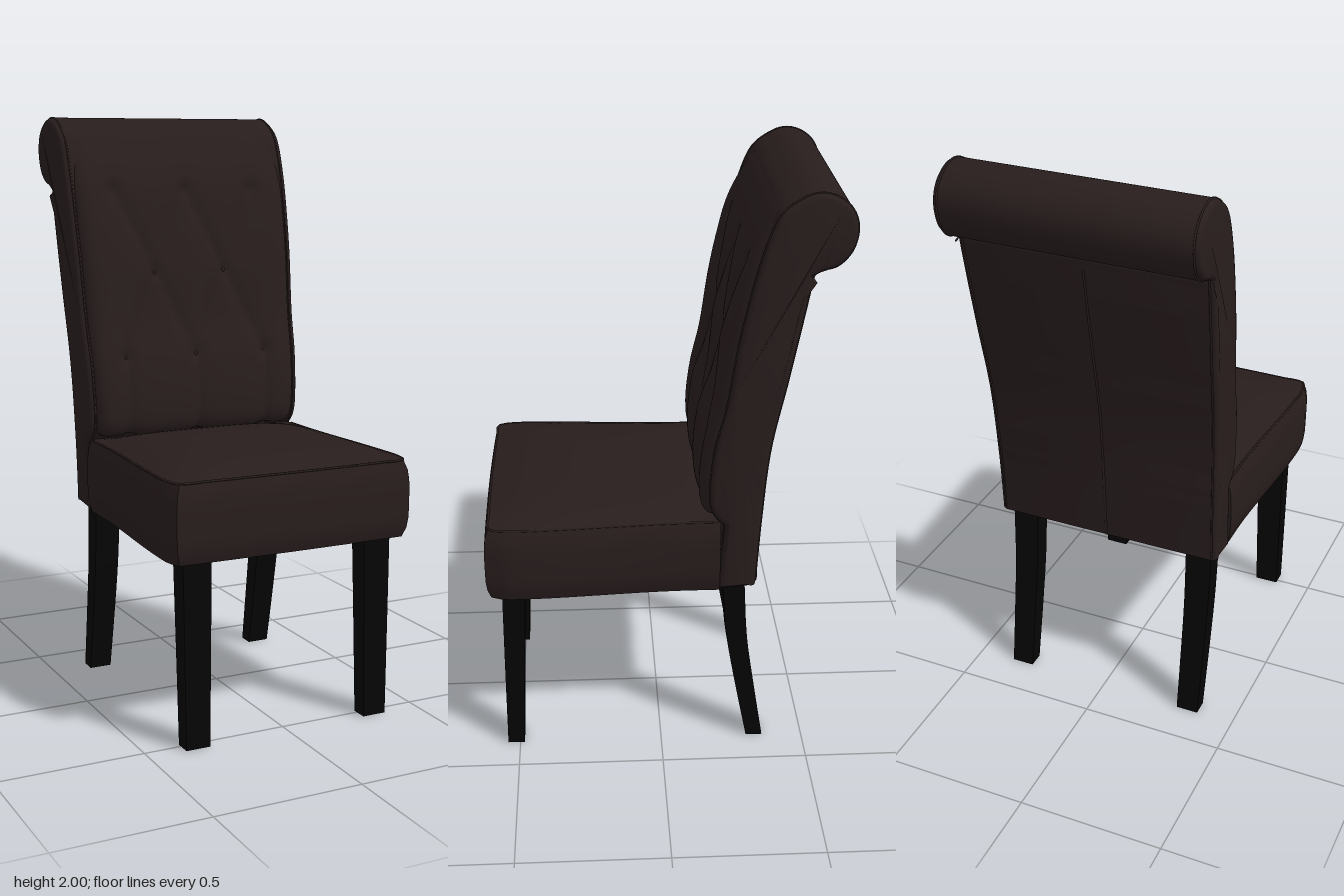
import * as THREE from 'three';
import { toCreasedNormals } from 'three/addons/utils/BufferGeometryUtils.js';

const flat = (name, color) => Object.assign(new THREE.MeshStandardMaterial({ color }), { name });
const { lerp, smoothstep, clamp } = THREE.MathUtils;

// Move every vertex by a rule, then refresh the normals
function reshape(geometry, rule) {
  const p = geometry.attributes.position;
  const v = new THREE.Vector3();
  for (let i = 0; i < p.count; i++) {
    rule(v.fromBufferAttribute(p, i));
    p.setXYZ(i, v.x, v.y, v.z);
  }
  geometry.computeVertexNormals();
  return geometry;
}

// Side profile of the backrest as [z, y]
const FRONT = [[-0.185, 0.87], [-0.145, 0.92], [-0.135, 1.0], [-0.15, 1.15], [-0.185, 1.3], [-0.215, 1.5],
  [-0.245, 1.65], [-0.285, 1.8], [-0.35, 1.925], [-0.415, 1.98], [-0.475, 2.0]];
const ROLL = [[-0.535, 1.983], [-0.578, 1.94], [-0.592, 1.88], [-0.575, 1.815], [-0.535, 1.772], [-0.49, 1.757], [-0.458, 1.74]];
const REAR = [[-0.455, 1.7], [-0.4, 1.4], [-0.352, 1.15], [-0.33, 0.9], [-0.315, 0.64]];

// Tufting: buttons and the creases that join them
const BUTTONS = [[-0.27, 1.75], [0, 1.75], [0.27, 1.75], [-0.135, 1.46], [0.135, 1.46], [-0.27, 1.17], [0, 1.17], [0.27, 1.17]];
const CREASES = [];
for (const s of [-1, 1]) {
  const mid = [s * 0.135, 1.46];
  for (const y of [1.17, 1.75]) for (const x of [0, s * 0.27]) CREASES.push([mid, [x, y]]);
  CREASES.push([[s * 0.27, 1.17], [s * 0.27, 0.86]]);
}
CREASES.push([[0, 1.17], [0, 0.86]]);

function creaseDistance(x, y) {
  let best = 1;
  for (const [a, b] of CREASES) {
    const dx = b[0] - a[0], dy = b[1] - a[1];
    const t = clamp(((x - a[0]) * dx + (y - a[1]) * dy) / (dx * dx + dy * dy), 0, 1);
    best = Math.min(best, Math.hypot(x - a[0] - t * dx, y - a[1] - t * dy));
  }
  return best;
}

// The back widens slightly towards the roll
const flare = (y) => lerp(0.96, 1.022, smoothstep(y, 0.7, 1.9));

function tuftedPanel() {
  const curve = new THREE.CatmullRomCurve3(FRONT.map(([z, y]) => new THREE.Vector3(0, y, z)));
  return reshape(new THREE.PlaneGeometry(1, 1, 72, 90), (v) => {
    const t = v.y + 0.5, u = v.x * 2;
    const p = curve.getPointAt(t), tan = curve.getTangentAt(t);
    const x = u * 0.416 * flare(p.y);
    let swell = 0.014 - 0.018 * Math.exp(-creaseDistance(x, p.y) / 0.035);
    for (const [bx, by] of BUTTONS) swell -= 0.012 * Math.exp(-(Math.hypot(x - bx, p.y - by) ** 2) / 0.0006);
    swell *= 1 - smoothstep(t, 0.68, 0.88);
    // the rim tucks into the body at the sides, bottom and roll
    const d = swell - 0.07 * Math.abs(u) ** 18 - 0.03 * (1 - smoothstep(t, 0, 0.04)) - 0.006 * smoothstep(t, 0.88, 1);
    v.set(x, p.y - tan.z * d, p.z + tan.y * d);
  });
}

function backOutline() {
  const inset = FRONT.map(([z, y]) => [z - 0.022 * (1 - smoothstep(y, 1.75, 1.96)), y]);
  const pts = (list) => list.map(([z, y]) => new THREE.Vector2(-z, y));
  const shape = new THREE.Shape();
  shape.moveTo(0.19, 0.63);
  shape.lineTo(-inset[0][0], inset[0][1]);
  shape.splineThru(pts([...inset.slice(1), ...ROLL]));
  shape.splineThru(pts(REAR));
  shape.closePath();
  return shape;
}

function backBody(shape) {
  const g = new THREE.ExtrudeGeometry(shape, {
    depth: 0.81, steps: 1, curveSegments: 60, bevelThickness: 0.02, bevelSize: 0.02, bevelOffset: -0.02, bevelSegments: 4,
  });
  g.translate(0, 0, -0.405).rotateY(Math.PI / 2);
  return toCreasedNormals(reshape(g, (v) => { v.x *= flare(v.y); }), 0.7);
}

function tube(points, radius, closed = false) {
  return new THREE.TubeGeometry(new THREE.CatmullRomCurve3(points, closed, 'centripetal'), points.length * 3, radius, 6, closed);
}

// Half width of the seat from back to front
const seatHalf = (z) => lerp(0.395, 0.425, smoothstep(z, -0.1, 0.5)) - 0.02 * smoothstep(z, 0.52, 0.58);

function seatCushion() {
  return reshape(new THREE.BoxGeometry(2, 1, 2, 24, 8, 24), (v) => {
    const { x: u, z: w, y: h } = v;
    const puff = 0.016 * (1 - (2 * h) ** 4);
    const z = lerp(-0.195, 0.572, (w + 1) / 2);
    const crown = h > 0.49 ? 0.048 * (1 - u ** 4) * (1 - Math.abs(w) ** 3) : 0;
    v.set(u * (seatHalf(z) + puff), lerp(0.622, 0.883, h + 0.5) + crown,
      z + (w > 0.99 ? puff + 0.006 * (1 - u * u) : 0));
  });
}

// Piping along the sides and front of the seat top
function seatPiping() {
  const points = [];
  for (let i = 0; i <= 10; i++) points.push([1, lerp(-0.17, 0.57, i / 10)]);
  for (let i = 1; i < 10; i++) points.push([1 - i / 5, 0.572 + 0.006 * (1 - (1 - i / 5) ** 2)]);
  for (let i = 10; i >= 0; i--) points.push([-1, lerp(-0.17, 0.57, i / 10)]);
  return tube(points.map(([u, z]) => new THREE.Vector3(u * seatHalf(z), 0.882, z)), 0.004);
}

// Square leg: sections of [y, zBack, zFront, xInner, xOuter] from floor to seat
function leg(side, sections) {
  const n = sections.length - 1;
  const spline = new THREE.CatmullRomCurve3(sections.map(([y, a, b]) => new THREE.Vector3(a, y, b)));
  return reshape(new THREE.BoxGeometry(1, 1, 1, 1, 12, 1), (v) => {
    const t = v.y + 0.5, p = spline.getPoint(t);
    const x0 = lerp(sections[0][3], sections[n][3], t), x1 = lerp(sections[0][4], sections[n][4], t);
    v.set(side * (x0 + x1) / 2 + v.x * (x1 - x0), p.y, v.z > 0 ? p.z : p.x);
  });
}

export function createModel() {
  const chair = new THREE.Group();
  chair.name = 'diningChair';
  const leather = flat('dark brown leather', 0x281d1d);
  const wood = flat('black wood', 0x050505);
  const lining = flat('olive lining', 0x453820);
  const add = (name, geometry, material) => {
    const mesh = new THREE.Mesh(geometry, material);
    mesh.name = name;
    chair.add(mesh);
    return mesh;
  };

  // Seat with piping round its top edge and lining underneath
  add('seatCushion', seatCushion(), leather);
  add('seatPiping', seatPiping(), leather);
  add('seatLining', new THREE.BoxGeometry(0.74, 0.008, 0.7), lining).position.set(0, 0.621, 0.19);

  // Scrolled backrest, tufted front and seams
  const outline = backOutline();
  add('backrest', backBody(outline), leather);
  add('tuftedPanel', tuftedPanel(), leather);
  const edge = outline.getSpacedPoints(90).slice(0, -1);
  for (const s of [-1, 1]) {
    add('backPiping', tube(edge.map((p) => new THREE.Vector3(s * 0.406 * flare(p.y), p.y, -p.x)), 0.0035, true), leather);
  }
  add('rearSeam', tube(REAR.map(([z, y]) => new THREE.Vector3(0, y, z)), 0.004), leather);

  // Buttons sit in the dimples
  const line = new THREE.CatmullRomCurve3(FRONT.map(([z, y]) => new THREE.Vector3(0, y, z))).getPoints(200);
  for (const [x, y] of BUTTONS) {
    const z = line.find((p) => p.y >= y).z;
    const button = add('button', new THREE.SphereGeometry(0.01, 10, 8), leather);
    button.position.set(x, y, z - 0.016);
    button.scale.z = 0.6;
  }

  // Tapered front legs and swept rear legs
  for (const s of [-1, 1]) {
    add('frontLeg', leg(s, [[0, 0.485, 0.543, 0.288, 0.372], [0.32, 0.474, 0.541, 0, 0], [0.64, 0.462, 0.538, 0.28, 0.38]]), wood);
    add('rearLeg', leg(s, [[0, -0.36, -0.303, 0.29, 0.368], [0.2, -0.328, -0.264, 0, 0],
      [0.42, -0.296, -0.226, 0, 0], [0.64, -0.282, -0.208, 0.284, 0.376]]), wood);
  }
  return chair;
}
